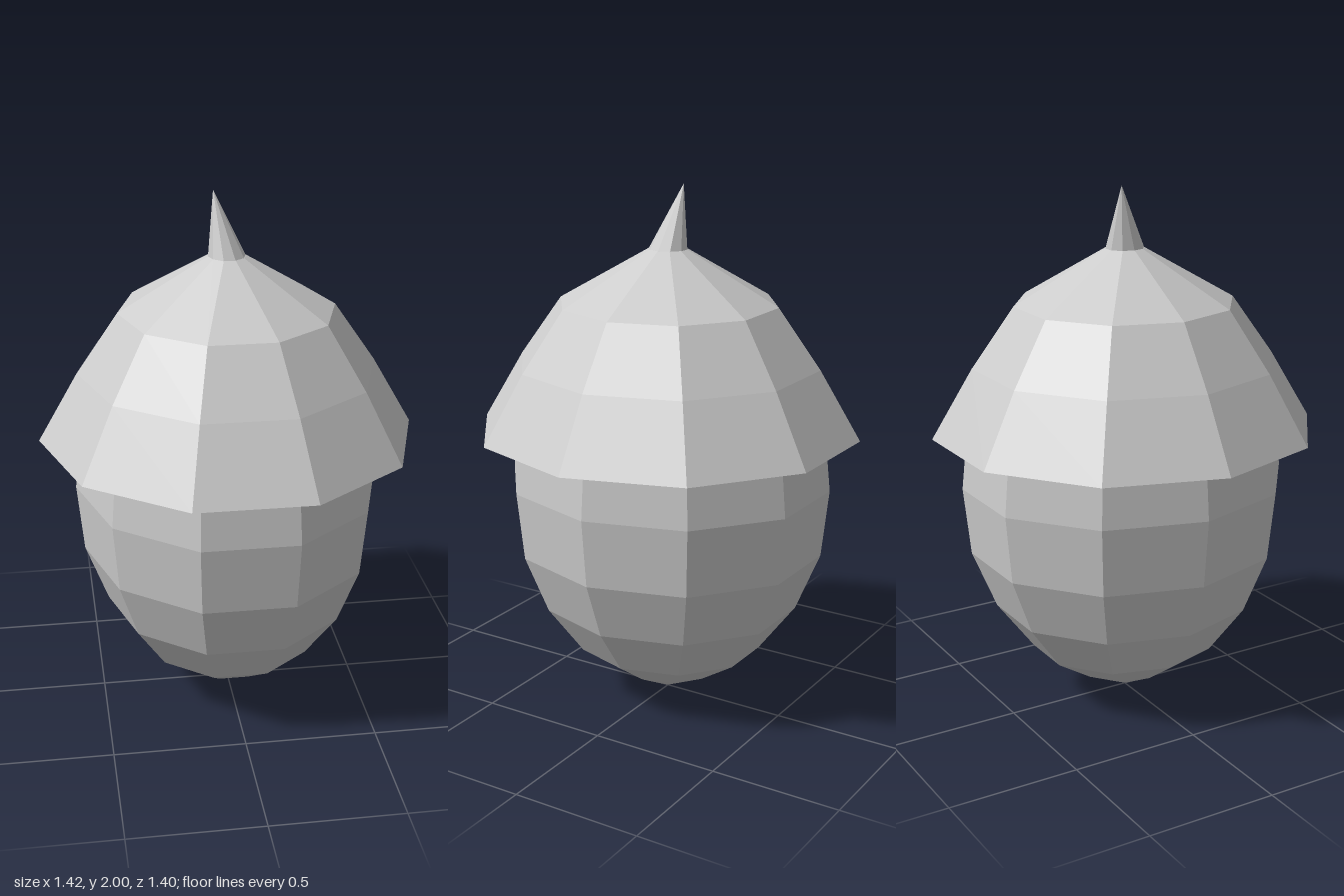
import * as THREE from 'three';

const material = new THREE.MeshStandardMaterial({ color: 0xcccccc, flatShading: true });

// Ten-sided turned part with a corner on +x; profile is [radius, y] from bottom to top
function turned(name, profile, depthScale) {
  const points = profile.map(([r, y]) => new THREE.Vector2(r, y));
  const geometry = new THREE.LatheGeometry(points, 10, Math.PI / 2);
  geometry.scale(1, 1, depthScale);
  const mesh = new THREE.Mesh(geometry, material);
  mesh.name = name;
  return mesh;
}

export function createModel() {
  const model = new THREE.Group();
  model.name = 'acorn';

  // Nut: pointed at the bottom, widest just under the cap
  model.add(turned('nut', [
    [0, 0], [0.185, 0.1], [0.34, 0.21], [0.47, 0.395],
    [0.555, 0.62], [0.58, 0.88], [0.56, 1.09], [0.5, 1.2],
  ], 1.09));

  // Cap: shallow recessed underside, flared rim, domed sides
  model.add(turned('cap', [
    [0.48, 1.135], [0.71, 1.08], [0.56, 1.34], [0.405, 1.565], [0.07, 1.765], [0, 1.77],
  ], 1.035));

  // Stem: a cone whose tip leans to one side and back
  const stem = turned('stem', [[0, 1.76], [0.07, 1.762], [0, 2]], 1.06);
  const position = stem.geometry.attributes.position;
  for (let i = 0; i < position.count; i++) {
    if (position.getY(i) > 1.9) {
      position.setX(i, -0.045);
      position.setZ(i, -0.04);
    }
  }
  stem.geometry.computeVertexNormals();
  model.add(stem);

  return model;
}
